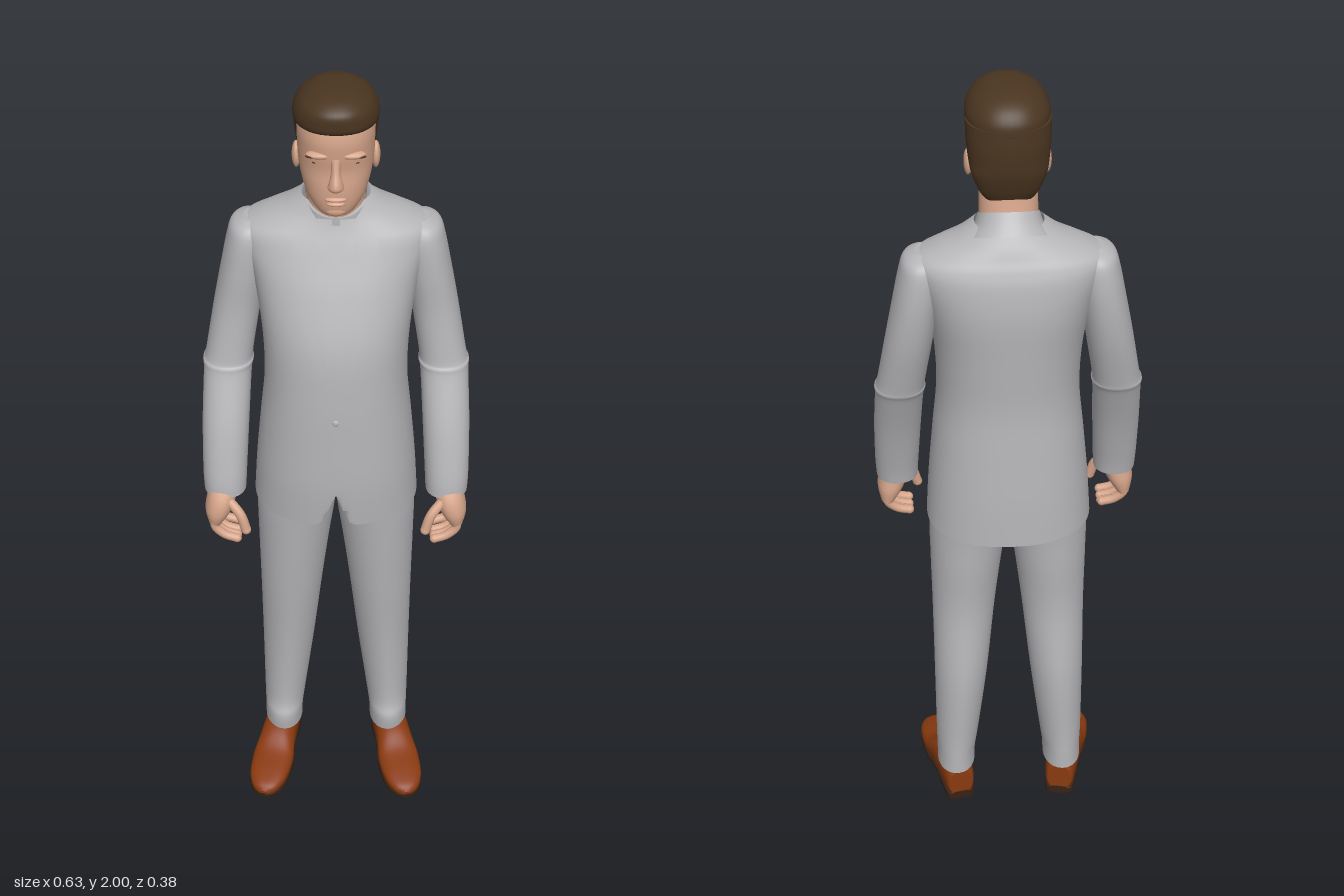
import * as THREE from 'three';

const mat = (name, color, side = THREE.FrontSide) => {
  const m = new THREE.MeshStandardMaterial({ color, side });
  m.name = name;
  return m;
};

// Smooth a list of numeric rows with a Catmull-Rom rule
function smooth(rows, sub = 6) {
  const out = [], last = rows.length - 1;
  for (let i = 0; i < last; i++) {
    const [a, b, c, d] = [rows[Math.max(i - 1, 0)], rows[i], rows[i + 1], rows[Math.min(i + 2, last)]];
    for (let k = 0; k < sub; k++) {
      const t = k / sub;
      out.push(b.map((v, q) => v + 0.5 * t * (c[q] - a[q] + t * (2 * a[q] - 5 * v + 4 * c[q] - d[q]
        + t * (3 * (v - c[q]) + d[q] - a[q])))));
    }
  }
  out.push(rows[last]);
  return out;
}

// Symmetric section: [y, halfWidth, zBack, zFront, roundness]
const sym = rows => rows.map(([y, x, b, f, n = 2.2]) => [y, -x, x, b, f, n]);

// Skin superellipse sections [y, x0, x1, z0, z1, n], listed upwards
function loft(rows, { seg = 40, caps = true, rule } = {}) {
  const rings = smooth(rows), pos = [], idx = [];
  const addRing = ([y, x0, x1, z0, z1, n = 2.2]) => {
    const rx = Math.max((x1 - x0) / 2, 0.001), rz = Math.max((z1 - z0) / 2, 0.001);
    for (let j = 0; j < seg; j++) {
      const a = j / seg * Math.PI * 2, c = Math.cos(a), s = Math.sin(a);
      const p = [(x0 + x1) / 2 + rx * Math.sign(c) * Math.abs(c) ** (2 / n), y,
        (z0 + z1) / 2 + rz * Math.sign(s) * Math.abs(s) ** (2 / n)];
      pos.push(...(rule ? rule(p) : p));
    }
  };
  rings.forEach(addRing);
  for (let i = 0; i < rings.length - 1; i++) for (let j = 0; j < seg; j++) {
    const a = i * seg + j, b = i * seg + (j + 1) % seg;
    idx.push(a, a + seg, b, b, a + seg, b + seg);
  }
  if (caps) [rings[0], rings[rings.length - 1]].forEach((r, top) => {
    const s = pos.length / 3;
    addRing(r);
    pos.push((r[1] + r[2]) / 2, r[0], (r[3] + r[4]) / 2);
    for (let j = 0; j < seg; j++) {
      const a = s + j, b = s + (j + 1) % seg;
      idx.push(s + seg, top ? b : a, top ? a : b);
    }
  });
  return build(pos, idx);
}

function build(pos, idx) {
  const g = new THREE.BufferGeometry();
  g.setAttribute('position', new THREE.Float32BufferAttribute(pos, 3));
  g.setIndex(idx);
  g.computeVertexNormals();
  return g;
}

const blob = (x, y, z, rx, ry, rz) =>
  new THREE.SphereGeometry(1, 20, 14).scale(rx, ry, rz).translate(x, y, z);

const jacketRows = sym([
  [0.89, 0.197, -0.19, 0.142, 2.3], [1.0, 0.19, -0.187, 0.15, 2.3], [1.12, 0.179, -0.18, 0.15, 2.3],
  [1.25, 0.167, -0.173, 0.147, 2.3], [1.38, 0.172, -0.18, 0.135, 2.3], [1.5, 0.19, -0.187, 0.095, 2.4],
  [1.58, 0.212, -0.18, 0.06, 2.4], [1.62, 0.215, -0.168, 0.042, 2.3], [1.645, 0.175, -0.155, 0.03, 2.2],
  [1.67, 0.122, -0.142, 0.02, 2.1], [1.7, 0.078, -0.122, 0.01, 2.1],
]);

// Thin cloth plate following the jacket front; rows are [y, xa, xb]
function patch(rows, lift) {
  const body = smooth(jacketRows), n = 8, pos = [], idx = [];
  const frontZ = (x, y) => {
    const i = Math.max(1, body.findIndex(r => r[0] >= y)), a = body[i - 1], b = body[i];
    const t = (y - a[0]) / (b[0] - a[0]), r = a.map((v, q) => v + (b[q] - v) * t);
    const u = Math.min(Math.abs(x) / r[2], 1);
    return (r[3] + r[4]) / 2 + (r[4] - r[3]) / 2 * (1 - u ** r[5]) ** (1 / r[5]);
  };
  const lines = smooth(rows, 5);
  lines.forEach(([y, xa, xb], i) => {
    for (let j = 0; j <= n; j++) {
      const x = xa + (xb - xa) * j / n;
      pos.push(x, y, frontZ(x, y) + lift);
      if (i && j) {
        const d = i * (n + 1) + j, b = d - n - 1;
        idx.push(b - 1, b, d - 1, b, d, d - 1);
      }
    }
  });
  return build(pos, idx);
}

export function createModel() {
  const model = new THREE.Group();
  model.name = 'standingManInSuit';
  const suit = mat('suitGrey', 0xb6b6b9, THREE.DoubleSide);
  const skin = mat('skin', 0xd6a58a);
  const hair = mat('hairBrown', 0x4a3520);
  const leather = mat('shoeLeather', 0x8a3a10);
  const soleMat = mat('soleBrown', 0x3a2114);

  const add = (name, g, m) => {
    const mesh = new THREE.Mesh(g, m);
    mesh.name = name;
    model.add(mesh);
  };
  // Add a part on the left and its mirror image on the right
  const pair = (name, g, m) => {
    const r = g.clone().scale(-1, 1, 1), ix = r.index.array;
    for (let i = 0; i < ix.length; i += 3) [ix[i], ix[i + 1]] = [ix[i + 1], ix[i]];
    add(name + 'Left', g, m);
    add(name + 'Right', r, m);
  };

  // Jacket, with the opening cut into the front hem
  add('jacket', loft(jacketRows, {
    seg: 96, caps: false,
    rule: ([x, y, z]) => [x, z > 0 ? Math.max(y, 0.985 - Math.abs(x) * 2.6) : y, z],
  }), suit);
  const tilt = ([x, y, z]) => [x, y - (z + 0.05) * 0.5, z];
  add('collar', loft(sym([[1.655, 0.098, -0.138, 0.03], [1.685, 0.078, -0.12, 0.028], [1.715, 0.069, -0.104, 0.027]]),
    { caps: false, rule: tilt }), suit);
  pair('lapel', patch([[1.67, 0.045, 0.075], [1.6, 0.05, 0.1], [1.5, 0.052, 0.086],
    [1.4, 0.038, 0.062], [1.32, 0.018, 0.036], [1.24, 0, 0.004]], 0.009), suit);
  pair('shirtCollarPoint', patch([[1.675, 0.008, 0.05], [1.64, 0.014, 0.048], [1.605, 0.03, 0.036]], 0.012), suit);
  add('tie', patch([[1.66, -0.016, 0.016], [1.625, -0.01, 0.01], [1.5, -0.019, 0.019],
    [1.38, -0.024, 0.024], [1.3, -0.012, 0.012]], 0.008), suit);
  pair('pocketFlap', patch([[1.14, 0.095, 0.165], [1.115, 0.094, 0.166], [1.09, 0.097, 0.165]], 0.008), suit);
  add('jacketButton', blob(0, 1.2, 0.149, 0.008, 0.008, 0.004), suit);

  // Sleeves, with a fold at the elbow
  pair('sleeve', loft([
    [0.948, 0.215, 0.315, 0.005, 0.112], [1.0, 0.212, 0.317, -0.006, 0.105], [1.12, 0.205, 0.316, -0.04, 0.075],
    [1.235, 0.198, 0.311, -0.082, 0.033], [1.26, 0.193, 0.312, -0.094, 0.026], [1.28, 0.194, 0.305, -0.098, 0.018],
    [1.4, 0.175, 0.284, -0.125, 0.008], [1.5, 0.16, 0.265, -0.137, 0.01], [1.58, 0.15, 0.249, -0.135, 0.008],
    [1.617, 0.155, 0.237, -0.122, -0.004], [1.633, 0.17, 0.21, -0.09, -0.03]]), suit);

  // Trousers
  pair('trouserLeg', loft([
    [0.095, 0.09, 0.186, -0.115, 0.03, 2.1], [0.14, 0.088, 0.186, -0.115, 0.034, 2], [0.2, 0.08, 0.187, -0.115, 0.022, 1.9],
    [0.4, 0.055, 0.188, -0.12, 0.035, 1.85], [0.6, 0.034, 0.189, -0.103, 0.058, 1.9], [0.75, 0.016, 0.191, -0.11, 0.075, 2],
    [0.87, 0, 0.191, -0.118, 0.088, 2.1], [0.98, -0.01, 0.178, -0.14, 0.1, 2.2]]), suit);

  // Shoes: sections along the foot, laid down and turned out; [z, halfWidth, -top, -bottom]
  const lay = g => g.rotateX(Math.PI / 2).rotateY(0.2).translate(0.15, 0, 0);
  pair('shoe', lay(loft(sym([[-0.108, 0.022, -0.085, -0.012, 2.4], [-0.1, 0.036, -0.1, -0.01, 2.5], [-0.03, 0.043, -0.112, -0.01, 2.4],
    [0.03, 0.047, -0.096, -0.01, 2.3], [0.08, 0.053, -0.067, -0.008, 2.4], [0.14, 0.048, -0.051, -0.008, 2.5],
    [0.178, 0.031, -0.038, -0.008, 2.4], [0.193, 0.008, -0.024, -0.012, 2.2]]))), leather);
  pair('sole', lay(loft(sym([[-0.11, 0.024, -0.022, 0, 6], [-0.1, 0.036, -0.022, 0, 6], [-0.045, 0.04, -0.022, 0, 6],
    [-0.03, 0.04, -0.022, -0.011, 6], [0.02, 0.044, -0.022, -0.01, 6], [0.06, 0.051, -0.018, 0, 6],
    [0.14, 0.048, -0.016, 0, 6], [0.18, 0.03, -0.016, -0.001, 6], [0.195, 0.008, -0.016, -0.006, 6]]))), soleMat);

  // Hands with curled fingers
  pair('palm', loft([[0.865, 0.272, 0.308, 0.035, 0.118], [0.9, 0.25, 0.314, 0.03, 0.128], [0.94, 0.238, 0.308, 0.033, 0.122],
    [0.985, 0.235, 0.3, 0.03, 0.095]]), skin);
  const digit = (name, points, r) => {
    const path = new THREE.CatmullRomCurve3(points.map(p => new THREE.Vector3(...p)));
    pair(name, new THREE.TubeGeometry(path, 12, r, 10), skin);
    pair(name + 'Tip', blob(...points[points.length - 1], r, r, r), skin);
  };
  for (let i = 0; i < 4; i++) {
    const z = 0.046 + i * 0.021, drop = [0.012, 0, 0, 0.006][i];
    digit('finger' + (i + 1), [[0.291, 0.885, z], [0.29, 0.853 + drop, z], [0.267, 0.831 + drop, z + 0.003],
      [0.238, 0.822 + drop, z + 0.006]], 0.011);
  }
  digit('thumb', [[0.255, 0.935, 0.105], [0.228, 0.905, 0.122], [0.215, 0.865, 0.128]], 0.012);

  // Neck and head
  add('neck', loft(sym([[1.63, 0.066, -0.11, 0.015], [1.7, 0.066, -0.1, 0.022], [1.76, 0.065, -0.088, 0.035], [1.81, 0.06, -0.08, 0.04]])), skin);
  add('head', loft(sym([[1.712, 0.024, 0.03, 0.076], [1.725, 0.043, 0.0, 0.091], [1.755, 0.064, -0.04, 0.098], [1.79, 0.076, -0.075, 0.1],
    [1.83, 0.083, -0.092, 0.098], [1.87, 0.085, -0.1, 0.103], [1.91, 0.085, -0.102, 0.104], [1.95, 0.076, -0.095, 0.09],
    [1.98, 0.045, -0.06, 0.05]])), skin);
  add('nose', loft(sym([[1.793, 0.012, 0.085, 0.115, 2], [1.802, 0.018, 0.085, 0.129, 1.8], [1.815, 0.015, 0.085, 0.13, 1.8],
    [1.84, 0.01, 0.085, 0.116, 2], [1.868, 0.011, 0.085, 0.106, 2]]), { seg: 20 }), skin);
  add('upperLip', blob(0, 1.767, 0.097, 0.024, 0.006, 0.009), skin);
  add('lowerLip', blob(0, 1.755, 0.096, 0.02, 0.006, 0.009), skin);
  add('chin', blob(0, 1.733, 0.084, 0.024, 0.015, 0.012), skin);
  pair('browRidge', blob(0.033, 1.873, 0.088, 0.032, 0.009, 0.016), skin);
  pair('eyebrow', blob(0.035, 1.872, 0.1, 0.023, 0.004, 0.005).rotateY(0.08), hair);
  pair('eye', blob(0.034, 1.852, 0.088, 0.012, 0.003, 0.004).rotateY(0.06), hair);
  pair('ear', blob(0.087, 1.82, -0.008, 0.01, 0.032, 0.02), skin);

  // Hair: crown with a fringe, and the back with sideburns
  add('hairCrown', loft(sym([[1.915, 0.09, -0.112, 0.07], [1.928, 0.094, -0.113, 0.106], [1.95, 0.092, -0.109, 0.112],
    [1.972, 0.08, -0.094, 0.109], [1.988, 0.06, -0.07, 0.09], [1.997, 0.038, -0.04, 0.064], [2.0, 0.012, -0.005, 0.03]])), hair);
  add('hairBack', loft(sym([[1.755, 0.052, -0.083, -0.035], [1.78, 0.068, -0.095, -0.03], [1.82, 0.083, -0.108, -0.012],
    [1.85, 0.089, -0.113, 0.022], [1.89, 0.093, -0.115, 0.04], [1.935, 0.094, -0.112, 0.06]])), hair);

  return model;
}
